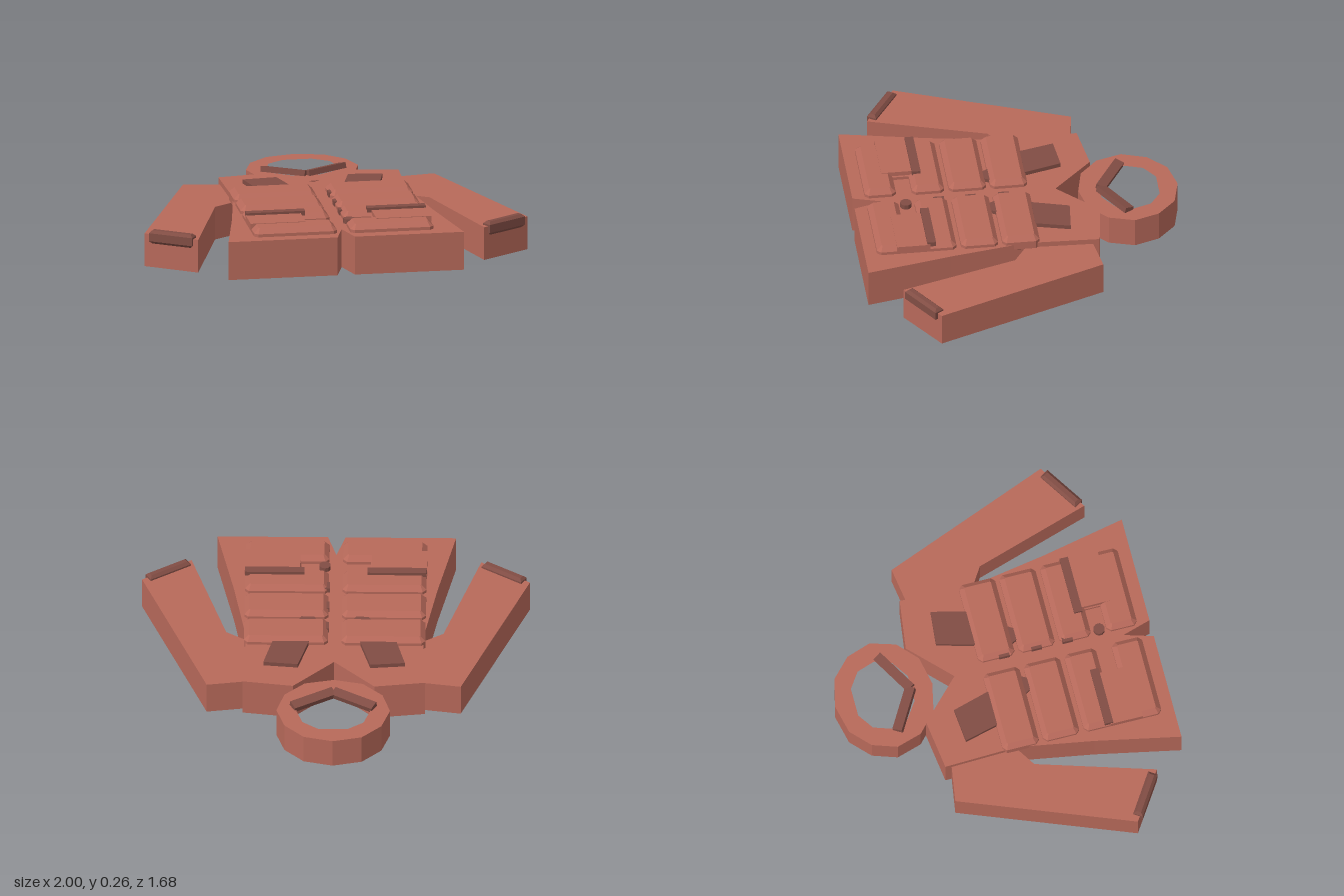
import * as THREE from 'three';

const cloth = new THREE.MeshStandardMaterial({ color: 0xb7695a, flatShading: true });
cloth.name = 'cloth';
const trim = new THREE.MeshStandardMaterial({ color: 0x814d44, flatShading: true });
trim.name = 'trim';

// Outline from plan points [x, z]; side = -1 mirrors it across x
const outline = (pts, side = 1) => new THREE.Shape(pts.map(([x, z]) => new THREE.Vector2(x * side, -z)));

// Upright slab between two heights; bevel slopes the upper rim inwards
function slab(name, shape, y0, y1, material, bevel = 0) {
  const geometry = new THREE.ExtrudeGeometry(shape, {
    depth: y1 - y0 - 2 * bevel, bevelEnabled: bevel > 0, bevelSegments: 1,
    bevelThickness: bevel, bevelSize: bevel, bevelOffset: -bevel,
  });
  geometry.rotateX(-Math.PI / 2).translate(0, y0 + bevel, 0);
  const mesh = new THREE.Mesh(geometry, material);
  mesh.name = name;
  return mesh;
}

function box(name, [w, h, d], [x, y, z], material) {
  const mesh = new THREE.Mesh(new THREE.BoxGeometry(w, h, d), material);
  mesh.name = name;
  mesh.position.set(x, y, z);
  return mesh;
}

const rect = (x0, x1, z0, z1) => [[x0, z0], [x1, z0], [x1, z1], [x0, z1]];

// Rectangle with clipped corners
const clipped = (x0, x1, z0, z1, c = 0.02) => [
  [x0 + c, z0], [x1 - c, z0], [x1, z0 + c], [x1, z1 - c],
  [x1 - c, z1], [x0 + c, z1], [x0, z1 - c], [x0, z0 + c]];

export function createModel() {
  const jacket = new THREE.Group();
  jacket.name = 'jacket';

  // Torso with neck opening and hem notch
  const half = [[0.21, -0.415], [0.47, -0.38], [0.457, 0], [0.525, 0.4], [0.615, 0.84], [0.045, 0.84]];
  const left = half.map(([x, z]) => [-x, z]).reverse();
  jacket.add(slab('torso', outline([[0, -0.21], ...half, [0, 0.69], ...left]), 0, 0.203, cloth));

  // Hood ring
  const ring = [[0, -0.845], [0.15, -0.81], [0.25, -0.715], [0.293, -0.587], [0.253, -0.455], [0.15, -0.36], [0, -0.328]];
  const hole = [[0.075, -0.742], [0.158, -0.685], [0.19, -0.59], [0.158, -0.5], [0.07, -0.44]];
  const closed = (pts) => [...pts, ...pts.filter(([x]) => x > 0).map(([x, z]) => [-x, z]).reverse()];
  const hood = outline(closed(ring));
  hood.holes.push(outline(closed(hole)));
  jacket.add(slab('hood', hood, 0.018, 0.177, cloth));

  for (const s of [1, -1]) {
    const sideGroup = new THREE.Group();
    sideGroup.name = s > 0 ? 'leftSide' : 'rightSide';
    jacket.add(sideGroup);
    const add = (name, pts, y0, y1, material, bevel) =>
      sideGroup.add(slab(name, outline(pts, s), y0, y1, material, bevel));

    // Sleeve and cuff strap
    add('sleeve', [[0.46, -0.345], [0.655, -0.375], [1, 0.508], [0.747, 0.675], [0.56, 0.07], [0.45, 0]], 0, 0.175, cloth);
    const strap = slab('cuffStrap', outline(rect(-0.122, 0.122, -0.026, 0.026)), 0.127, 0.198, trim, 0.014);
    strap.position.set(0.866 * s, 0, 0.583);
    strap.rotation.y = 0.574 * s;
    sideGroup.add(strap);

    // Strip along the front of the hood opening
    const strip = box('hoodStrip', [0.245, 0.03, 0.052], [0.105 * s, 0.185, -0.505], trim);
    strip.rotation.set(-0.25, 0.53 * s, 0, 'YXZ');
    sideGroup.add(strip);

    // Shoulder patch
    add('shoulderPatch', [[0.187, -0.26], [0.365, -0.243], [0.32, -0.065], [0.132, -0.065]], 0.19, 0.225, trim);

    // Chest pouches
    add('upperPouch', clipped(0.035, 0.468, -0.07, 0.123), 0.15, 0.245, cloth, 0.026);
    add('middlePouch', clipped(0.035, 0.468, 0.145, 0.338), 0.15, 0.245, cloth, 0.026);
    add('pouchTab', [[0.09, 0.112], [0.195, 0.112], [0.17, 0.153], [0.11, 0.153]], 0.19, 0.222, trim);

    // Lower pocket, notched on its inner edge
    const c = 0.02;
    add('lowerPocket', [
      [0.035 + c, 0.362], [0.468 - c, 0.362], [0.468, 0.362 + c], [0.468, 0.775 - c], [0.468 - c, 0.775],
      [0.035 + c, 0.775], [0.035, 0.775 - c], [0.035, 0.635], [0.055, 0.613], [0.18, 0.613],
      [0.18, 0.53], [0.055, 0.53], [0.035, 0.51], [0.035, 0.362 + c]], 0.15, 0.245, cloth, 0.026);
    add('pocketFlap', rect(0.185, 0.472, 0.5, 0.672), 0.218, 0.248, cloth);
    add('flapStrip', rect(0.162, 0.468, 0.47, 0.515), 0.235, 0.26, trim);
  }

  // Front fasteners on one edge
  [0.065, 0.237, 0.402].forEach((z) => jacket.add(box('fastener', [0.026, 0.03, 0.055], [0.043, 0.215, z], trim)));
  const button = new THREE.Mesh(new THREE.CylinderGeometry(0.03, 0.03, 0.04, 10), trim);
  button.name = 'button';
  button.position.set(0.057, 0.208, 0.575);
  jacket.add(button);

  return jacket;
}
